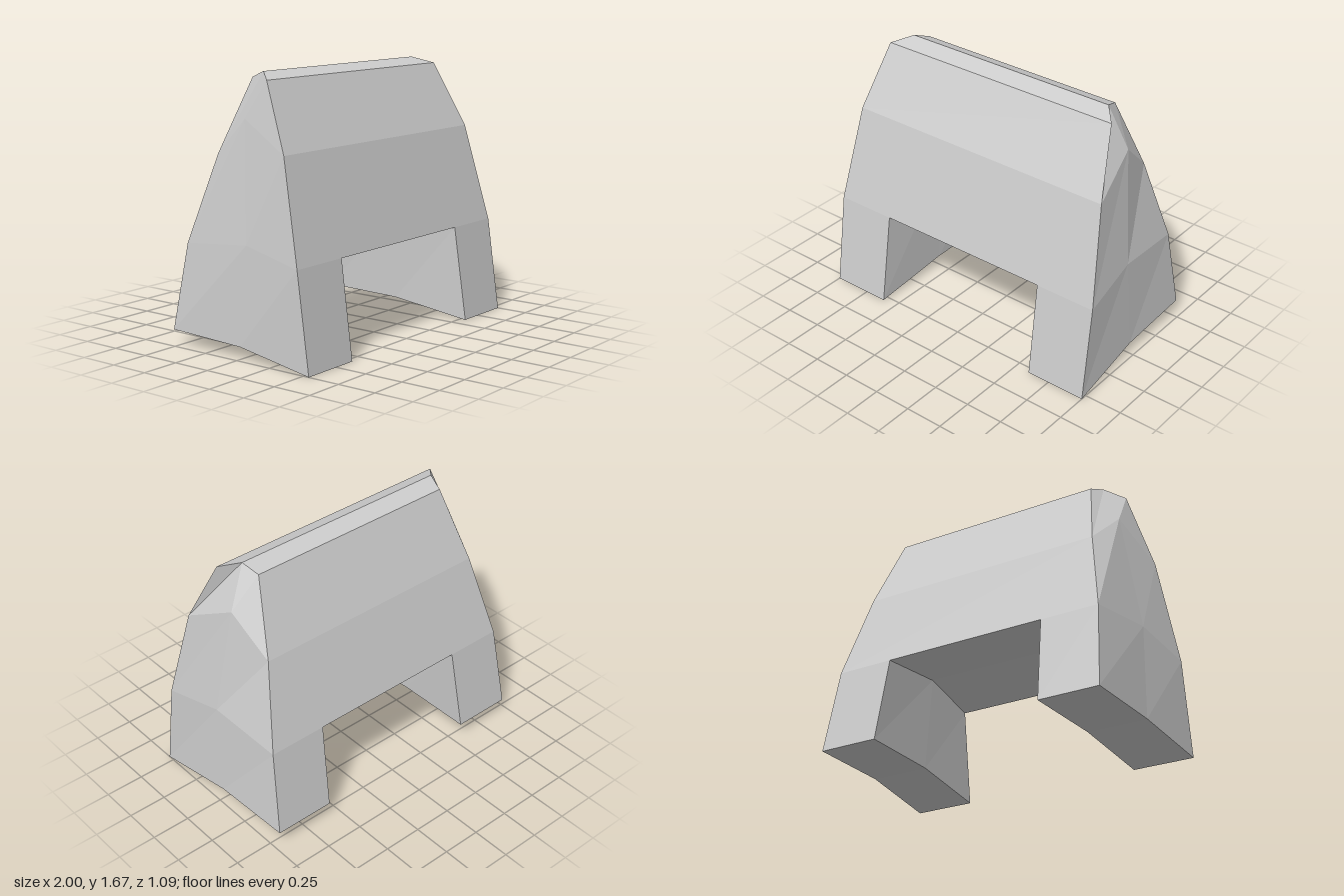
import * as THREE from 'three';

// Cross-section corners on the +x side: rows go upwards, each row runs front, middle, back
const outer = [
  [[1.0, 0, 0.54], [0.97, 0.075, 0], [0.96, 0.09, -0.545]],
  [[0.995, 0.6, 0.455], [0.952, 0.68, 0.04], [0.92, 0.63, -0.455]],
  [[0.925, 1.22, 0.305], [0.862, 1.4, -0.04], [0.81, 1.17, -0.3]],
  [[0.84, 1.627, 0.11], [0.74, 1.667, 0], [0.71, 1.627, -0.11]],
];
// Half widths of the opening between the legs, for the two lowest rows
const innerX = [[0.6, 0.58, 0.567], [0.592, 0.565, 0.54]];
const inner = innerX.map((row, r) => row.map((x, c) => [x, outer[r][c][1], outer[r][c][2]]));

const flip = ([x, y, z]) => [-x, y, z];

// Flat-shaded mesh from counter-clockwise quads
function quadMesh(name, quads, material) {
  const positions = quads.flatMap(([a, b, c, d]) => [a, b, c, a, c, d]).flat();
  const geometry = new THREE.BufferGeometry();
  geometry.setAttribute('position', new THREE.Float32BufferAttribute(positions, 3));
  geometry.computeVertexNormals();
  const mesh = new THREE.Mesh(geometry, material);
  mesh.name = name;
  return mesh;
}

// Copy quads to the other side of x = 0, keeping them facing outwards
const mirror = (quads) => quads.map((q) => q.map(flip).reverse());

// One panel of the end wall
const sidePanel = (r, c) => [outer[r][c], outer[r][c + 1], outer[r + 1][c + 1], outer[r + 1][c]];

// Strip spanning the full width between two +x corners, a first then b
const span = (a, b) => [flip(a), a, b, flip(b)];

export function createModel() {
  const group = new THREE.Group();
  group.name = 'archBlock';
  const stone = new THREE.MeshStandardMaterial({ color: 0xcccccc });
  stone.name = 'light grey';

  // Legs
  const leg = [
    [inner[0][0], outer[0][0], outer[1][0], inner[1][0]],
    [outer[0][2], inner[0][2], inner[1][2], outer[1][2]],
  ];
  for (const c of [0, 1]) {
    leg.push(sidePanel(0, c));
    leg.push([inner[0][c + 1], inner[0][c], inner[1][c], inner[1][c + 1]]);
    leg.push([inner[0][c], inner[0][c + 1], outer[0][c + 1], outer[0][c]]);
  }
  group.add(quadMesh('leftLeg', leg, stone), quadMesh('rightLeg', mirror(leg), stone));

  // Upper body: end walls, front and back bands
  const ends = [];
  const bands = [];
  for (const r of [1, 2]) {
    ends.push(sidePanel(r, 0), sidePanel(r, 1));
    bands.push(span(outer[r][0], outer[r + 1][0]), span(outer[r + 1][2], outer[r][2]));
  }
  // Ridge on top and ceiling of the opening
  const ridge = [];
  const ceiling = [];
  for (const c of [0, 1]) {
    ridge.push(span(outer[3][c], outer[3][c + 1]));
    ceiling.push(span(inner[1][c + 1], inner[1][c]));
  }
  group.add(
    quadMesh('body', [...ends, ...mirror(ends), ...bands], stone),
    quadMesh('ridge', ridge, stone),
    quadMesh('archCeiling', ceiling, stone),
  );
  return group;
}
